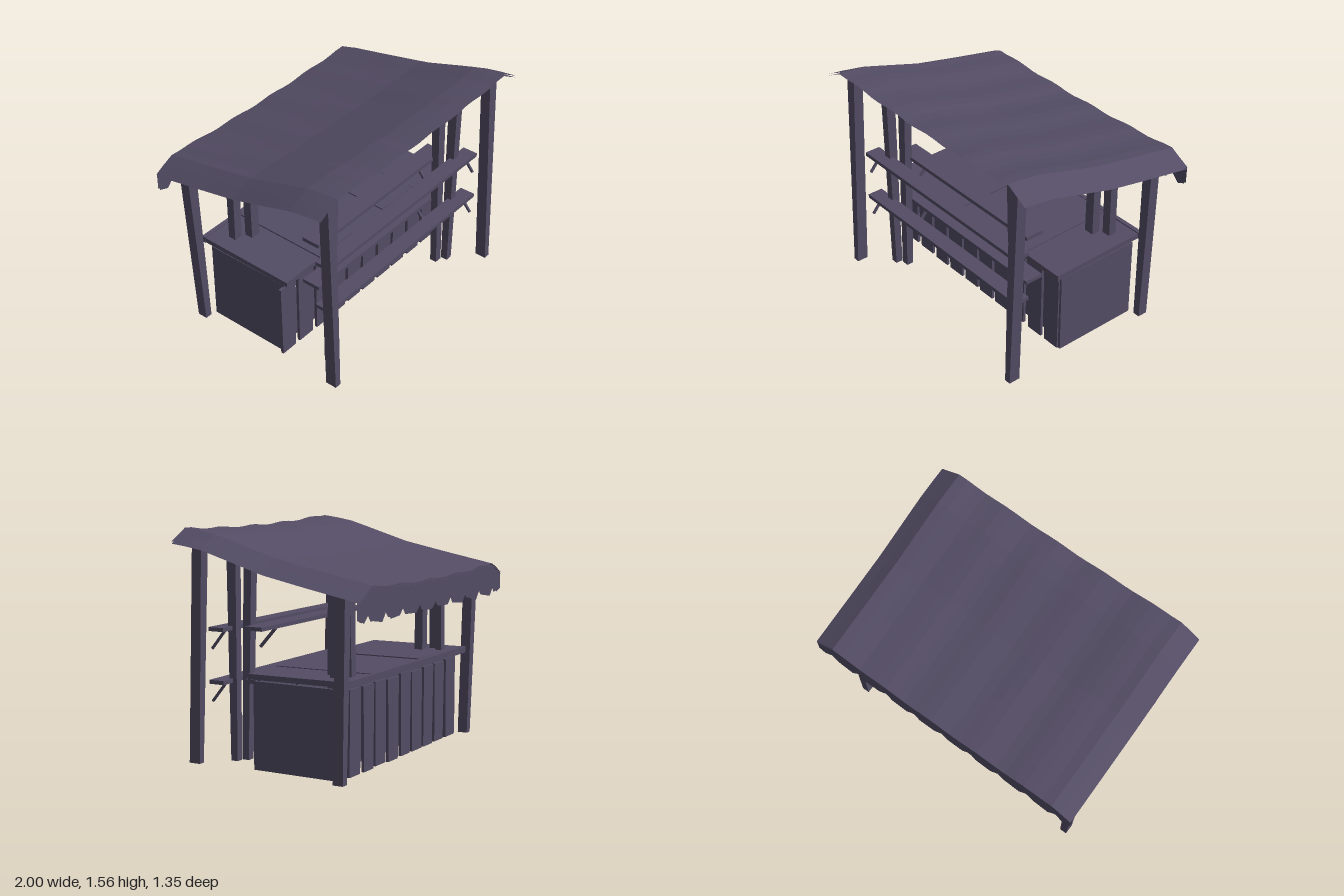
import * as THREE from 'three';

export function createModel() {
  const root = new THREE.Group();
  const wood = new THREE.MeshStandardMaterial({ color: 0x534c64, flatShading: true, side: THREE.DoubleSide });
  wood.name = 'duskyWood';

  let seed = 7;
  const rnd = () => ((seed = (seed * 16807) % 2147483647) / 2147483647) * 2 - 1;
  const add = (name, geo, parent = root) => {
    const m = new THREE.Mesh(geo, wood);
    m.name = name;
    parent.add(m);
    return m;
  };
  const group = (name) => {
    const g = new THREE.Group();
    g.name = name;
    root.add(g);
    return g;
  };
  // box given by its limits
  const box = (name, x0, x1, y0, y1, z0, z1, parent) => {
    const g = new THREE.BoxGeometry(x1 - x0, y1 - y0, z1 - z0);
    g.translate((x0 + x1) / 2, (y0 + y1) / 2, (z0 + z1) / 2);
    return add(name, g, parent);
  };
  // tapered beam: ends are [x, y, z, width, depth], sheared along y
  const post = (name, a, b, parent) => {
    const g = new THREE.BoxGeometry(1, 1, 1);
    const p = g.attributes.position;
    for (let i = 0; i < p.count; i++) {
      const e = p.getY(i) < 0 ? a : b;
      p.setXYZ(i, e[0] + p.getX(i) * e[3], e[1], e[2] + p.getZ(i) * e[4]);
    }
    g.computeVertexNormals();
    return add(name, g, parent);
  };
  // square bar between two points
  const bar = (name, a, b, w, h, parent) => {
    const A = new THREE.Vector3(...a), B = new THREE.Vector3(...b);
    const m = add(name, new THREE.BoxGeometry(w, h, A.distanceTo(B)), parent);
    m.position.copy(A).add(B).multiplyScalar(0.5);
    m.lookAt(B);
    return m;
  };

  // Posts
  const posts = group('posts');
  for (const s of [-1, 1]) {
    post('frontPost', [s * 0.838, 0.04, 0.628, 0.045, 0.08], [s * 0.83, 1.51, 0.58, 0.075, 0.07], posts);
    post('backPost', [s * 0.875, 0.04, -0.465, 0.05, 0.07], [s < 0 ? -0.91 : 0.87, 1.22, -0.485, 0.075, 0.07], posts);
    post('shelfPostOuter', [s * 0.65, 0.04, 0.445, 0.05, 0.05], [s * 0.645, 1.47, 0.455, 0.06, 0.07], posts);
    post('shelfPostInner', [s * 0.585, 0.04, 0.4, 0.055, 0.05], [s * 0.575, 1.46, 0.37, 0.07, 0.06], posts);
    post('counterPostOuter', [s * 0.68, 0.04, -0.33, 0.06, 0.05], [s * 0.68, 1.29, -0.325, 0.065, 0.06], posts);
    post('counterPostInner', [s * 0.59, 0.04, -0.255, 0.07, 0.06], [s * 0.59, 1.31, -0.265, 0.07, 0.06], posts);
    post('counterPostBack', [s * 0.62, 0.04, -0.4, 0.05, 0.04], [s * 0.62, 1.25, -0.385, 0.06, 0.05], posts);
  }

  // Counter: side panels, staggered plank walls with backing, rails and top boards
  const counter = group('counter');
  for (const s of [-1, 1]) {
    box('sidePanel', s * 0.8 - 0.01, s * 0.8 + 0.01, 0.04, 0.61, -0.42, 0.2, counter);
  }
  for (const [z, start] of [[0.2, -0.773], [-0.43, -0.69]]) {
    for (let i = 0; i < 10; i++) {
      const x = start + i * 0.1667;
      if (x > 0.8) continue;
      post('wallPlank', [x + rnd() * 0.006, 0.045 + rnd() * 0.006, z, 0.128 + rnd() * 0.01, 0.02],
        [x + rnd() * 0.006, 0.59 + rnd() * 0.008, z, 0.142 + rnd() * 0.008, 0.02], counter);
    }
    const zr = z - Math.sign(z) * 0.016;
    box('upperRail', -0.79, 0.79, 0.52, 0.6, zr - 0.006, zr + 0.006, counter);
    box('wallBacking', -0.79, 0.79, 0.11, 0.49, zr - 0.006, zr + 0.006, counter);
  }
  for (let i = 0; i < 5; i++) {
    const x = -0.82 + i * 0.328;
    const g = box('topBoard', x, x + 0.323, 0.625, 0.66, -0.47, 0.23, counter);
    g.rotation.x = 0.012;
    g.position.y = rnd() * 0.004;
  }
  bar('topEdgeTrim', [-0.82, 0.645, -0.48], [0.82, 0.645, -0.48], 0.03, 0.045, counter);

  // Small crumpled bundle beneath the counter
  const lump = new THREE.CylinderGeometry(0.11, 0.045, 0.08, 9);
  lump.translate(-0.045, 0.042, -0.15);
  add('bundle', lump);

  // Shelves with diagonal brackets
  const shelves = group('shelves');
  for (const y of [0.91, 0.568]) {
    box('frontShelf', -0.79, 0.78, y - 0.013, y + 0.013, 0.45, 0.56, shelves);
    box('rearShelf', -0.66, 0.66, y - 0.01, y + 0.016, 0.235, 0.365, shelves);
    for (const s of [-1, 1]) {
      bar('frontBracket', [s * 0.75, y - 0.13, 0.555], [s * 0.745, y - 0.01, 0.46], 0.015, 0.015, shelves);
      bar('rearBracket', [s * 0.47, y - 0.14, 0.37], [s * 0.475, y - 0.01, 0.25], 0.015, 0.018, shelves);
    }
  }

  // Canopy: sloping cloth that sags in the middle and droops at both ends
  const profile = [[-0.67, 1.26], [-0.3, 1.33], [0, 1.39], [0.35, 1.493], [0.48, 1.53], [0.68, 1.555]];
  const roofY = (x, z) => {
    let i = 0;
    while (i < profile.length - 2 && z > profile[i + 1][0]) i++;
    const [z0, y0] = profile[i], [z1, y1] = profile[i + 1];
    const y = y0 + (y1 - y0) * (z - z0) / (z1 - z0);
    const droop = Math.max(0, Math.abs(x) - 0.86) / 0.14 * 0.075;
    const sag = 0.025 * Math.max(0, 1 - x * x * 1.4);
    return y - droop - sag + 0.006 * Math.sin(x * 17) * Math.min(1, (1 - Math.abs(x)) * 5);
  };
  const canopy = group('canopy');
  for (const drop of [0, 0.014]) {
    const g = new THREE.PlaneGeometry(2, 1.35, 28, 12);
    g.rotateX(-Math.PI / 2);
    const p = g.attributes.position;
    for (let i = 0; i < p.count; i++) p.setY(i, roofY(p.getX(i), p.getZ(i)) - drop);
    g.computeVertexNormals();
    add(drop ? 'canopyLining' : 'canopyCloth', g, canopy);
  }

  // Jagged fringe along the back, in two layers with pointed notches
  for (const z of [-0.672, -0.655]) {
    const shape = new THREE.Shape();
    for (let i = 0; i <= 40; i++) {
      const x = -1 + i / 20;
      shape[i ? 'lineTo' : 'moveTo'](x, roofY(x, -0.67) - 0.005);
    }
    shape.lineTo(1, 1.07);
    for (let i = 8; i >= 0; i--) {
      const x = -0.888 + i * 0.222;
      shape.lineTo(x + 0.06, 1.04 + rnd() * 0.008);
      shape.lineTo(x, 1.1 + rnd() * 0.008);
      shape.lineTo(x - 0.045, 1.045 + rnd() * 0.008);
    }
    shape.lineTo(-1, 1.07);
    const g = new THREE.ShapeGeometry(shape);
    g.translate(0, 0, z);
    add('fringe', g, canopy);
  }

  // Slim beams under the canopy
  const beams = group('roofBeams');
  bar('frontBeam', [-0.85, 1.485, 0.58], [0.85, 1.485, 0.58], 0.05, 0.03, beams);
  bar('backBeam', [-0.56, 1.225, -0.43], [0.56, 1.24, -0.43], 0.04, 0.035, beams);
  for (const s of [-1, 1]) {
    bar('innerSideBeam', [s * 0.62, 1.435, 0.42], [s * 0.62, 1.22, -0.44], 0.04, 0.035, beams);
  }
  return root;
}
